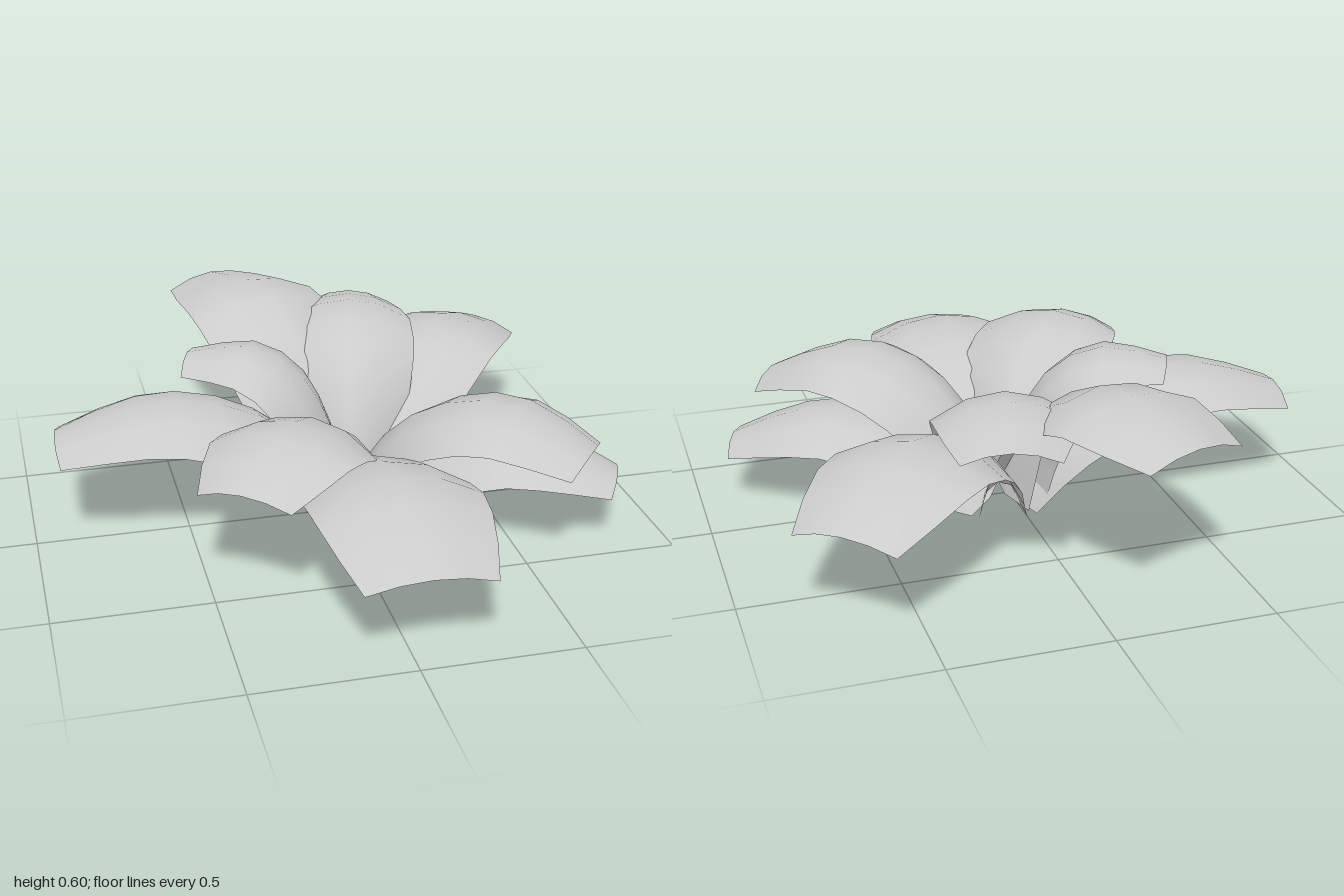
import * as THREE from 'three';

const ROWS = 8, COLS = 4;
// Centre of the rosette
const CX = 0.05, CZ = -0.03;

// Each leaf: tip position (x, z), tip height, ridge height, half width at the middle and at the tip,
// and rise: how far out (share of its reach) it is when halfway up
const LEAVES = [
  { name: 'backLeftLeaf', x: -0.25, z: -0.955, tip: 0.54, top: 0.6, mid: 0.26, end: 0.17, rise: 0.2 },
  { name: 'backInnerLeaf', x: 0.228, z: -0.745, tip: 0.5, top: 0.555, mid: 0.228, end: 0.147, rise: 0.12 },
  { name: 'backRightLeaf', x: 0.735, z: -0.79, tip: 0.34, top: 0.455, mid: 0.255, end: 0.167, rise: 0.18 },
  { name: 'sideLeftLeaf', x: -0.915, z: -0.085, tip: 0.33, top: 0.43, mid: 0.26, end: 0.165, rise: 0.14 },
  { name: 'sideInnerLeaf', x: -0.45, z: -0.245, tip: 0.52, top: 0.555, mid: 0.2, end: 0.123, rise: 0.12 },
  { name: 'frontLeftLeaf', x: -0.428, z: 0.588, tip: 0.4, top: 0.49, mid: 0.245, end: 0.154, rise: 0.11 },
  { name: 'frontLeaf', x: 0.035, z: 1.0, tip: 0.29, top: 0.405, mid: 0.272, end: 0.196, rise: 0.14 },
  { name: 'frontRightInnerLeaf', x: 0.702, z: 0.488, tip: 0.36, top: 0.475, mid: 0.25, end: 0.156, rise: 0.13 },
  { name: 'sideRightLeaf', x: 0.868, z: 0.328, tip: 0.2, top: 0.31, mid: 0.24, end: 0.139, rise: 0.17 },
];

// Arched blade swept along a ridge curve that rises steeply and bends outward
function leafGeometry({ x, z, tip, top, mid, end, rise }) {
  const dx = x - CX, dz = z - CZ, reach = Math.hypot(dx, dz);
  const ridge = new THREE.CatmullRomCurve3([
    [0, 0.06], [rise * reach, 0.55 * top], [(rise + 0.22) * reach, 0.88 * top],
    [0.63 * reach, top], [0.83 * reach, top * 0.6 + tip * 0.4], [reach, tip],
  ].map(([r, y]) => new THREE.Vector3(0, y, r)), false, 'centripetal');
  const halfWidth = new THREE.CatmullRomCurve3([
    [0, 0.145], [0.3, 0.15 * 0.3 + 0.7 * mid], [0.55, mid], [0.8, 0.93 * mid], [1, end],
  ].map(([t, w]) => new THREE.Vector3(t, w, 0)));
  const points = [], index = [];
  for (let i = 0; i <= ROWS; i++) {
    const t = i / ROWS;
    const p = ridge.getPointAt(t), tan = ridge.getTangentAt(t);
    const w = halfWidth.getPointAt(t).y;
    const sag = 0.12 - 0.02 * t - 0.06 * t * t;
    for (let j = 0; j <= COLS; j++) {
      const s = (j / COLS) * 2 - 1, d = sag * s * s;
      // edges fold away from the upper face
      points.push(s * w, Math.max(0, p.y - d * tan.z), p.z + d * tan.y);
      if (i < ROWS && j < COLS) {
        const a = i * (COLS + 1) + j, b = a + COLS + 1;
        index.push(a, b, a + 1, a + 1, b, b + 1);
      }
    }
  }
  const g = new THREE.BufferGeometry();
  g.setAttribute('position', new THREE.Float32BufferAttribute(points, 3));
  g.setIndex(index);
  g.rotateY(Math.atan2(dx, dz));
  g.translate(CX, 0, CZ);
  g.computeVertexNormals();
  return g;
}

export function createModel() {
  const group = new THREE.Group();
  group.name = 'broadLeafPlant';
  const material = new THREE.MeshStandardMaterial({ color: 0xcccccc, side: THREE.DoubleSide });
  for (const leaf of LEAVES) {
    const mesh = new THREE.Mesh(leafGeometry(leaf), material);
    mesh.name = leaf.name;
    group.add(mesh);
  }
  return group;
}
